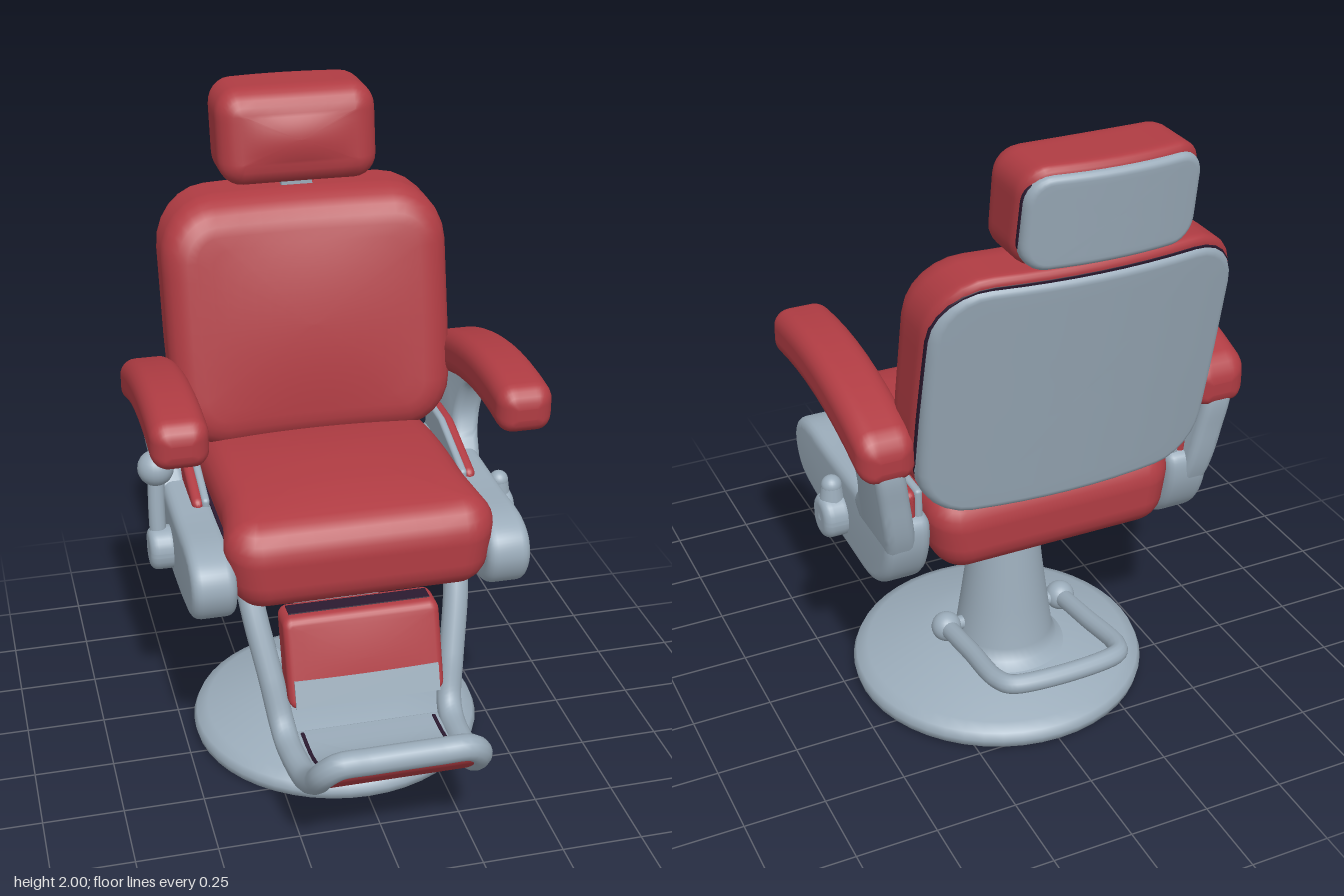
import * as THREE from 'three';
import { toCreasedNormals } from 'three/addons/utils/BufferGeometryUtils.js';

const mat = (name, color) => {
  const m = new THREE.MeshStandardMaterial({ color });
  m.name = name;
  return m;
};

// Points of a rounded rectangle (half sizes w, h), counterclockwise
function roundedRect(w, h, R) {
  const pts = [], arc = 6, edge = 8, corners = [[1, 1], [-1, 1], [-1, -1], [1, -1]];
  corners.forEach(([sx, sy], q) => {
    for (let k = 0; k <= arc; k++) {
      const a = (q + k / arc) * Math.PI / 2;
      pts.push([sx * (w - R) + R * Math.cos(a), sy * (h - R) + R * Math.sin(a)]);
    }
    const [nx, ny] = corners[(q + 1) % 4], a = (q + 1) * Math.PI / 2;
    const start = pts[pts.length - 1];
    const end = [nx * (w - R) + R * Math.cos(a), ny * (h - R) + R * Math.sin(a)];
    for (let k = 1; k < edge; k++) {
      const t = k / edge;
      pts.push([start[0] + (end[0] - start[0]) * t, start[1] + (end[1] - start[1]) * t]);
    }
  });
  return pts;
}

// Soft pad: rounded rectangle in xy (corner R), depth along z (edge radius r in front, rb behind), domed faces
function pad(w, h, d, R, r, bulge = 0, rb = r) {
  const half = (sign, rad) => { // layers [inset, z, scale, dome] from the face centre outwards
    const out = [], caps = 8, steps = 5;
    for (let i = 0; i < caps; i++) out.push([rad, sign * d, Math.max(i / caps, 0.001), sign * bulge]);
    for (let i = 0; i <= steps; i++) {
      const a = i / steps * Math.PI / 2;
      out.push([rad * (1 - Math.sin(a)), sign * (d - rad * (1 - Math.cos(a))), 1, 0]);
    }
    return out;
  };
  const layers = half(-1, rb), mid = 8;
  for (let i = 1; i < mid; i++) layers.push([0, THREE.MathUtils.lerp(-d + rb, d - r, i / mid), 1, 0]);
  layers.push(...half(1, r).reverse());
  const pos = [], idx = [];
  let count = 0;
  for (const [inset, z, s, dome] of layers) {
    const W = w - inset, H = h - inset, ring = roundedRect(W, H, Math.max(R - inset, 0.004));
    count = ring.length;
    for (const [x, y] of ring) {
      pos.push(x * s, y * s, z + dome * (1 - (x * s / W) ** 2) * (1 - (y * s / H) ** 2));
    }
  }
  for (let i = 0; i < layers.length - 1; i++) {
    for (let j = 0; j < count; j++) {
      const a = i * count + j, b = i * count + (j + 1) % count;
      idx.push(a, b, b + count, a, b + count, a + count);
    }
  }
  const g = new THREE.BufferGeometry();
  g.setAttribute('position', new THREE.Float32BufferAttribute(pos, 3));
  g.setIndex(idx);
  g.computeVertexNormals();
  return g;
}

// Move every vertex by a rule
function bend(g, rule) {
  const p = g.attributes.position, v = new THREE.Vector3();
  for (let i = 0; i < p.count; i++) {
    rule(v.fromBufferAttribute(p, i));
    p.setXYZ(i, v.x, v.y, v.z);
  }
  g.computeVertexNormals();
  return g;
}

// Bevelled slab from a smooth [z, y] outline, thickness along x
function slab(outline, thickness, bevel) {
  const loop = new THREE.CatmullRomCurve3(outline.map(([z, y]) => new THREE.Vector3(-z, y, 0)), true);
  const shape = new THREE.Shape(loop.getPoints(80).slice(0, -1).map(p => new THREE.Vector2(p.x, p.y)));
  const depth = thickness - 2 * bevel;
  return new THREE.ExtrudeGeometry(shape, { depth, bevelThickness: bevel, bevelSize: bevel,
    bevelOffset: -bevel, bevelSegments: 4 }).translate(0, 0, -depth / 2).rotateY(Math.PI / 2);
}

export function createModel() {
  const { clamp, lerp, smoothstep } = THREE.MathUtils;
  const red = mat('red leather', 0xb03c43);
  const steel = mat('grey metal', 0x9bacba);
  const dark = mat('dark seam', 0x2b1a30);
  const model = new THREE.Group();
  const add = (name, geo, material, x = 0, y = 0, z = 0) => {
    const m = new THREE.Mesh(geo, material);
    m.name = name;
    m.position.set(x, y, z);
    model.add(m);
    return m;
  };
  const lathe = (pts) => new THREE.LatheGeometry(pts.map(p => new THREE.Vector2(...p)), 48);
  const tube = (pts, r) => new THREE.TubeGeometry(
    new THREE.CatmullRomCurve3(pts.map(p => new THREE.Vector3(...p)), false, 'centripetal'), 120, r, 14);
  const ball = (r) => new THREE.SphereGeometry(r, 24, 16);

  // Round foot and tapered column
  add('base', toCreasedNormals(lathe([[0, 0], [0.445, 0], [0.46, 0.01], [0.466, 0.034], [0.456, 0.058], [0.42, 0.073],
    [0.33, 0.1], [0.25, 0.124], [0.18, 0.138], [0, 0.142]]), 0.9), steel, 0, 0, -0.088);
  add('column', lathe([[0.2, 0.125], [0.168, 0.142], [0.153, 0.18], [0.136, 0.3], [0.12, 0.42], [0.105, 0.55],
    [0.097, 0.6], [0.095, 0.72]]), steel, 0, 0, -0.14);

  // Pump pedal: a loop behind the column
  add('pedalLoop', tube([[0.2, 0.22, -0.14], [0.2, 0.25, -0.32], [0.2, 0.282, -0.52], [0.17, 0.29, -0.57],
    [-0.17, 0.29, -0.57], [-0.2, 0.282, -0.52], [-0.2, 0.25, -0.32], [-0.2, 0.22, -0.14]], 0.029), steel);
  for (const s of [-1, 1]) add('pedalPivot', ball(0.047), steel, s * 0.2, 0.22, -0.14);
  add('pedalAxle', new THREE.CylinderGeometry(0.022, 0.022, 0.4, 14).rotateZ(Math.PI / 2), steel, 0, 0.22, -0.14);

  // Seat cushion, crowned in the middle, dropping and widening towards the front edge
  const seat = pad(0.4, 0.425, 0.135, 0.1, 0.085, 0.012).rotateX(-Math.PI / 2).translate(0, 0.815, -0.095);
  add('seatCushion', bend(seat, v => {
    const up = smoothstep(v.y, 0.7, 0.9);
    v.x *= lerp(0.95, 1, up) * lerp(0.965, 1.03, smoothstep(v.z, 0.08, 0.24));
    v.y += up * (0.022 - 0.5 * Math.max(0, v.z - 0.05) ** 2 - 0.25 * Math.min(0, v.z + 0.05) ** 2);
  }), red);

  // Backrest: leaning and curved around the sitter, its cushion deeper towards the top
  const lean = (v, slope = 0.2, curve = 0.06) => {
    v.z += -slope * (v.y - 1.32) + curve * (v.x / 0.45) ** 2;
    v.x *= 1 - 0.05 * Math.max(0, 1.25 - v.y);
  };
  add('backCushion', bend(pad(0.455, 0.385, 0.12, 0.17, 0.1, 0.025, 0.03).translate(0, 1.305, -0.495), v => {
    const t = clamp((-0.4 - v.z) / 0.2, 0, 1);
    lean(v, 0.2 + 0.07 * t, 0.035 + 0.025 * t);
  }), red);
  add('backSeam', bend(pad(0.448, 0.372, 0.01, 0.16, 0.006).translate(0, 1.295, -0.611), v => lean(v, 0.255)), dark);
  add('backShell', bend(pad(0.445, 0.375, 0.036, 0.15, 0.02, 0, 0.025).translate(0, 1.284, -0.616), v => lean(v)), steel);

  // Headrest on its post, the shell thicker towards the bottom
  const tilt = (v, slope = 0.14, curve = 0.03) => { v.z += -slope * (v.y - 1.855) + curve * (v.x / 0.25) ** 2; };
  add('headPost', new THREE.BoxGeometry(0.1, 0.16, 0.08), steel, 0, 1.68, -0.62);
  add('headCushion', bend(pad(0.253, 0.147, 0.12, 0.075, 0.07, 0.018, 0.035).translate(0, 1.855, -0.642), v => {
    const t = clamp((-0.55 - v.z) / 0.2, 0, 1);
    tilt(v, 0.14 + 0.08 * t, 0.03 * t);
  }), red);
  add('headSeam', bend(pad(0.249, 0.118, 0.006, 0.06, 0.004).translate(0, 1.855, -0.758), v => tilt(v, 0.2)), dark);
  add('headShell', bend(pad(0.246, 0.133, 0.026, 0.07, 0.02).translate(0, 1.848, -0.763), v => tilt(v)), steel);

  // Side frames: broad lower body and a leaning arm support
  const body = toCreasedNormals(slab([[0.0, 0.862], [0.22, 0.86], [0.295, 0.82], [0.315, 0.75], [0.27, 0.665],
    [0.12, 0.625], [-0.15, 0.606], [-0.34, 0.612], [-0.43, 0.68], [-0.475, 0.8], [-0.46, 0.87], [-0.23, 0.865]],
  0.136, 0.03).translate(0.45, 0, 0), 0.8);
  const support = toCreasedNormals(bend(slab([[-0.22, 0.83], [-0.28, 0.91], [-0.3, 0.98], [-0.27, 1.07], [-0.2, 1.12],
    [-0.19, 1.17], [-0.4, 1.15], [-0.505, 1.1], [-0.505, 0.95], [-0.478, 0.8], [-0.42, 0.7], [-0.28, 0.73]],
  0.09, 0.025).translate(0.49, 0, 0), v => { v.x += 0.16 * (v.y - 0.9); }), 0.8);
  const taper = v => { v.y -= 0.3 * Math.max(0, v.z + 0.3); };
  for (const s of [1, -1]) {
    add('sideFrame', body, steel).scale.x = s;
    add('armSupport', support, steel).scale.x = s;
    // Padded armrest, arched along its length
    const arm = pad(0.086, 0.074, 0.37, 0.05, 0.055).translate(s * 0.517, 0, -0.15);
    add('armrest', bend(arm, v => { v.y += 1.21 - 0.4 * v.z * v.z; }), red);
    // Dark gap beside the seat, then a rail and a small side pad
    add('seatGap', new THREE.BoxGeometry(0.01, 0.13, 0.5), dark, s * 0.392, 0.8, -0.05);
    add('sideRail', bend(pad(0.012, 0.068, 0.2, 0.01, 0.01).translate(s * 0.411, 0.892, -0.25), taper), steel);
    add('sidePad', bend(pad(0.018, 0.065, 0.2, 0.016, 0.02).translate(s * 0.434, 0.89, -0.25), taper), red);
    // Pivot boss on each side
    const boss = pad(0.063, 0.068, 0.045, 0.06, 0.025).rotateY(Math.PI / 2);
    add('pivotBoss', boss, steel, s * 0.543, 0.715, -0.1);
  }

  // Short crank on the left, tall ball lever on the right
  add('crankArm', new THREE.CylinderGeometry(0.03, 0.046, 0.11, 16), steel, 0.545, 0.765, -0.1);
  add('crankTip', ball(0.031), steel, 0.545, 0.815, -0.1);
  add('leverShaft', tube([[-0.555, 0.7, -0.1], [-0.555, 0.84, -0.115], [-0.55, 0.97, -0.13]], 0.026), steel);
  add('leverKnob', ball(0.056), steel, -0.55, 0.975, -0.13);

  // Footrest frame: one bent tube
  const half = [[0.33, 0.72, 0.14], [0.315, 0.6, 0.2], [0.285, 0.43, 0.27], [0.265, 0.3, 0.32], [0.259, 0.26, 0.375],
    [0.254, 0.257, 0.47], [0.246, 0.275, 0.585], [0.238, 0.33, 0.675], [0.226, 0.395, 0.735], [0.19, 0.432, 0.759]];
  const mirrored = half.map(([x, y, z]) => [-x, y, z]).reverse();
  add('footrestFrame', tube([...half, [0.1, 0.435, 0.761], [-0.1, 0.435, 0.761], ...mirrored], 0.039), steel);

  // Foot plate with dark side seams and a red pad beneath
  const curl = v => { v.y += 0.25 + 1.6 * Math.max(0, v.z - 0.42) ** 2; };
  const sheet = (w, l, d, R, r) => pad(w, l, d, R, r).rotateX(-Math.PI / 2);
  add('footPlate', bend(sheet(0.235, 0.21, 0.012, 0.03, 0.008).translate(0, 0.005, 0.545), curl), steel);
  const under = bend(sheet(0.238, 0.12, 0.022, 0.04, 0.018).translate(0, -0.023, 0.645), curl);
  add('footPad', under, red, 0, 0, 0.015);
  for (const s of [-1, 1]) {
    add('footSeam', bend(sheet(0.006, 0.175, 0.004, 0.005, 0.003).translate(s * 0.207, 0.016, 0.525), curl), dark);
  }

  // Calf pad between the tubes, dark along its top, its lower front faced with metal
  const slope = v => { v.z -= 0.33 * (v.y - 0.49); };
  add('calfPad', bend(pad(0.243, 0.135, 0.055, 0.03, 0.022, 0.006).translate(0, 0.485, 0.255), slope), red);
  add('calfSeam', bend(new THREE.BoxGeometry(0.44, 0.008, 0.05).translate(0, 0.619, 0.255), slope), dark);
  add('calfTrim', bend(new THREE.BoxGeometry(0.45, 0.08, 0.009).translate(0, 0.4, 0.312), slope), steel);

  return model;
}
